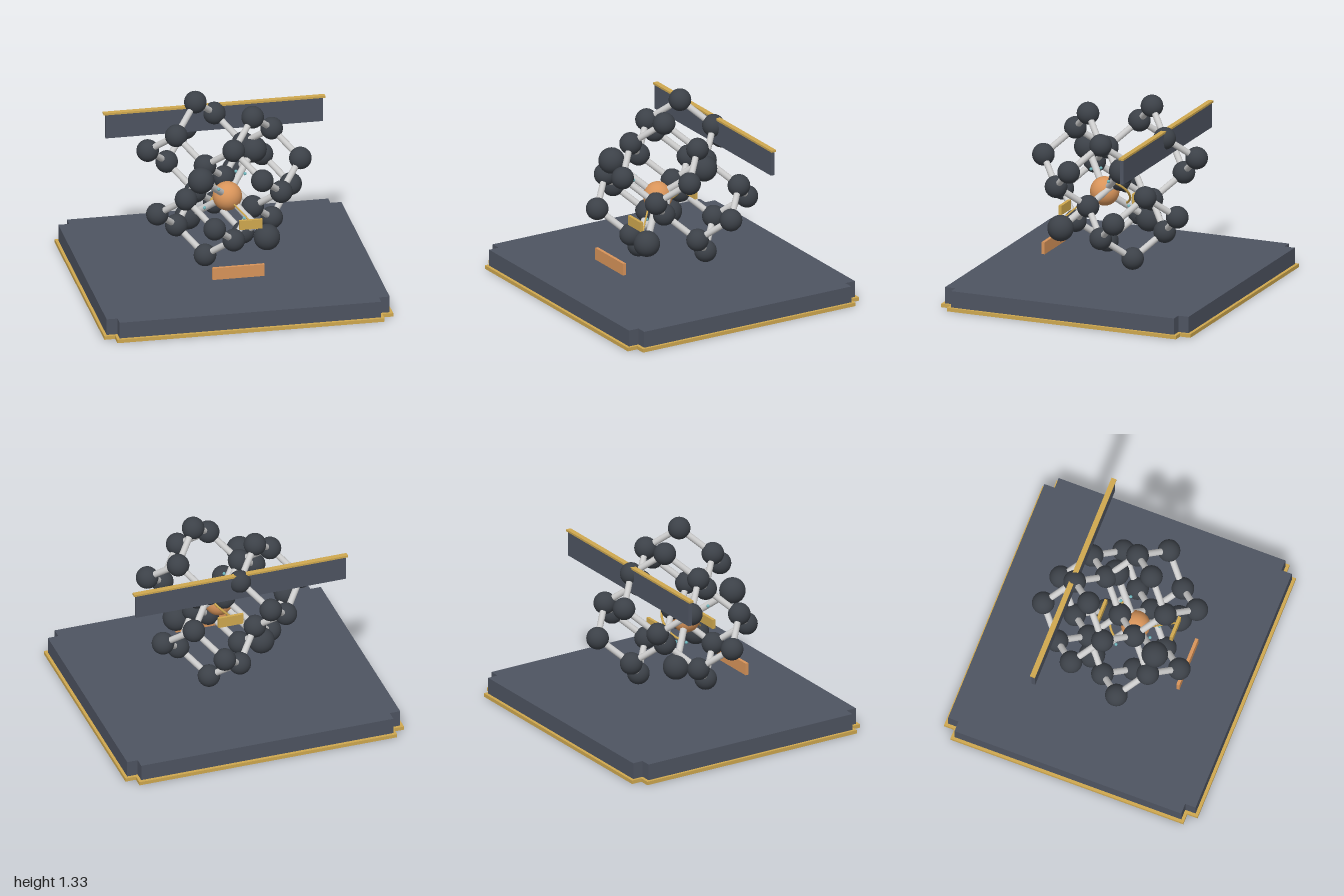
import * as THREE from 'three';

const mat = (color) => new THREE.MeshStandardMaterial({ color });
const DARK = mat(0x3c4148), SLATE = mat(0x4e5461), GOLD = mat(0xcfa84f);
const COPPER = mat(0xd8945a), SILVER = mat(0xcccccc), TEAL = mat(0x6fb6bd);
const V = (x, y, z) => new THREE.Vector3(x, y, z);

function add(parent, name, geometry, material, position) {
  const mesh = new THREE.Mesh(geometry, material);
  mesh.name = name;
  if (position) mesh.position.copy(position);
  parent.add(mesh);
  return mesh;
}

// Cylinder running between two points
function rod(parent, name, a, b, radius, material) {
  const geometry = new THREE.CylinderGeometry(radius, radius, a.distanceTo(b), 16);
  const mesh = add(parent, name, geometry, material, a.clone().lerp(b, 0.5));
  mesh.quaternion.setFromUnitVectors(V(0, 1, 0), b.clone().sub(a).normalize());
  return mesh;
}

// Rectangle outline with square notches at the corners
function notchedOutline(w, d, n) {
  return [
    [w, d - n], [w - n, d - n], [w - n, d], [n - w, d], [n - w, d - n], [-w, d - n],
    [-w, n - d], [n - w, n - d], [n - w, -d], [w - n, -d], [w - n, n - d], [w, n - d],
  ].map(([x, y]) => new THREE.Vector2(x, y));
}

function slab(shape, depth) {
  return new THREE.ExtrudeGeometry(shape, { depth, bevelEnabled: false }).rotateX(-Math.PI / 2);
}

function buildBase() {
  const base = new THREE.Group();
  base.name = 'base';
  const inner = notchedOutline(0.98, 0.9, 0.075);
  add(base, 'baseSlab', slab(new THREE.Shape(inner), 0.14), SLATE);
  const rim = new THREE.Shape(notchedOutline(1, 0.922, 0.075));
  rim.holes.push(new THREE.Path(inner));
  add(base, 'baseTrim', slab(rim, 0.025), GOLD);
  return base;
}

// Diamond lattice: two interleaved sets of points inside a sphere
function buildLattice() {
  const lattice = new THREE.Group();
  lattice.name = 'lattice';
  const step = 0.165, even = [], odd = [];
  for (let x = -3; x <= 3; x++) for (let y = -3; y <= 3; y++) for (let z = -3; z <= 3; z++) {
    if (x * x + y * y + z * z > 11) continue;
    const parity = [x, y, z].map((c) => Math.abs(c % 2));
    const sum = (x + y + z + 12) % 4;
    if (parity.every((p) => p === 0) && sum === 0) even.push(V(x, y, z));
    if (parity.every((p) => p === 1) && sum === 1) odd.push(V(x, y, z));
  }
  const place = (p) => p.clone().multiplyScalar(step).add(V(0, 0.762, 0));
  const ball = new THREE.SphereGeometry(0.077, 32, 20);
  for (const p of [...even, ...odd]) add(lattice, 'latticeAtom', ball, DARK, place(p));
  for (const a of even) for (const b of odd) {
    if (a.distanceToSquared(b) < 3.5) rod(lattice, 'latticeBond', place(a), place(b), 0.022, SILVER);
  }
  return lattice;
}

// Highlighted central atom with four bonded neighbours
function buildTetrahedron() {
  const group = new THREE.Group();
  group.name = 'tetrahedron';
  const centre = V(0, 0.668, 0.113);
  add(group, 'centralAtom', new THREE.SphereGeometry(0.1, 40, 24), COPPER, centre);
  const ball = new THREE.SphereGeometry(0.09, 32, 20);
  const dot = new THREE.SphereGeometry(0.011, 12, 8);
  for (const [x, y, z] of [[-1, 1, 1], [1, 1, -1], [1, -1, 1], [-1, -1, -1]]) {
    const dir = V(x, y, z);
    const end = centre.clone().addScaledVector(dir, 0.228);
    const middle = centre.clone().lerp(end, 0.5);
    add(group, 'neighbourAtom', ball, DARK, end);
    rod(group, 'neighbourBond', centre, end, 0.024, SILVER);
    // Electron pair either side of the bond
    const side = V(-z, 0, x).multiplyScalar(0.026);
    for (const s of [-1, 1]) add(group, 'electron', dot, TEAL, middle.clone().addScaledVector(side, s));
  }

  // Arc marking the angle between the two rear bonds
  const arcPoints = [], half = Math.acos(1 / Math.sqrt(3));
  for (let i = 0; i <= 16; i++) {
    const t = half * (i / 8 - 1);
    const across = Math.sin(t) * Math.SQRT1_2 * 0.18;
    arcPoints.push(V(across, across, -Math.cos(t) * 0.18).add(centre));
  }
  const arc = new THREE.CatmullRomCurve3(arcPoints);
  add(group, 'angleArc', new THREE.TubeGeometry(arc, 32, 0.008, 8), GOLD);
  add(group, 'anglePlate', new THREE.BoxGeometry(0.18, 0.075, 0.02), GOLD, V(0, 0.66, -0.137));

  // Line and plate marking the bond length
  rod(group, 'lengthLine', V(0.03, 0.638, 0.2), V(0.17, 0.498, 0.34), 0.006, GOLD);
  add(group, 'lengthPlate', new THREE.BoxGeometry(0.16, 0.066, 0.022), GOLD, V(0.112, 0.553, 0.36));
  return group;
}

export function createModel() {
  const model = new THREE.Group();
  model.name = 'crystalLatticeDisplay';
  model.add(buildBase(), buildLattice(), buildTetrahedron());

  // Header board behind the lattice and small plaque in front
  add(model, 'headerBoard', new THREE.BoxGeometry(1.505, 0.172, 0.028), SLATE, V(0, 1.056, -0.34));
  add(model, 'headerTrim', new THREE.BoxGeometry(1.535, 0.014, 0.036), GOLD, V(0, 1.149, -0.34));
  add(model, 'frontPlaque', new THREE.BoxGeometry(0.36, 0.085, 0.022), COPPER, V(0, 0.267, 0.49));
  return model;
}
